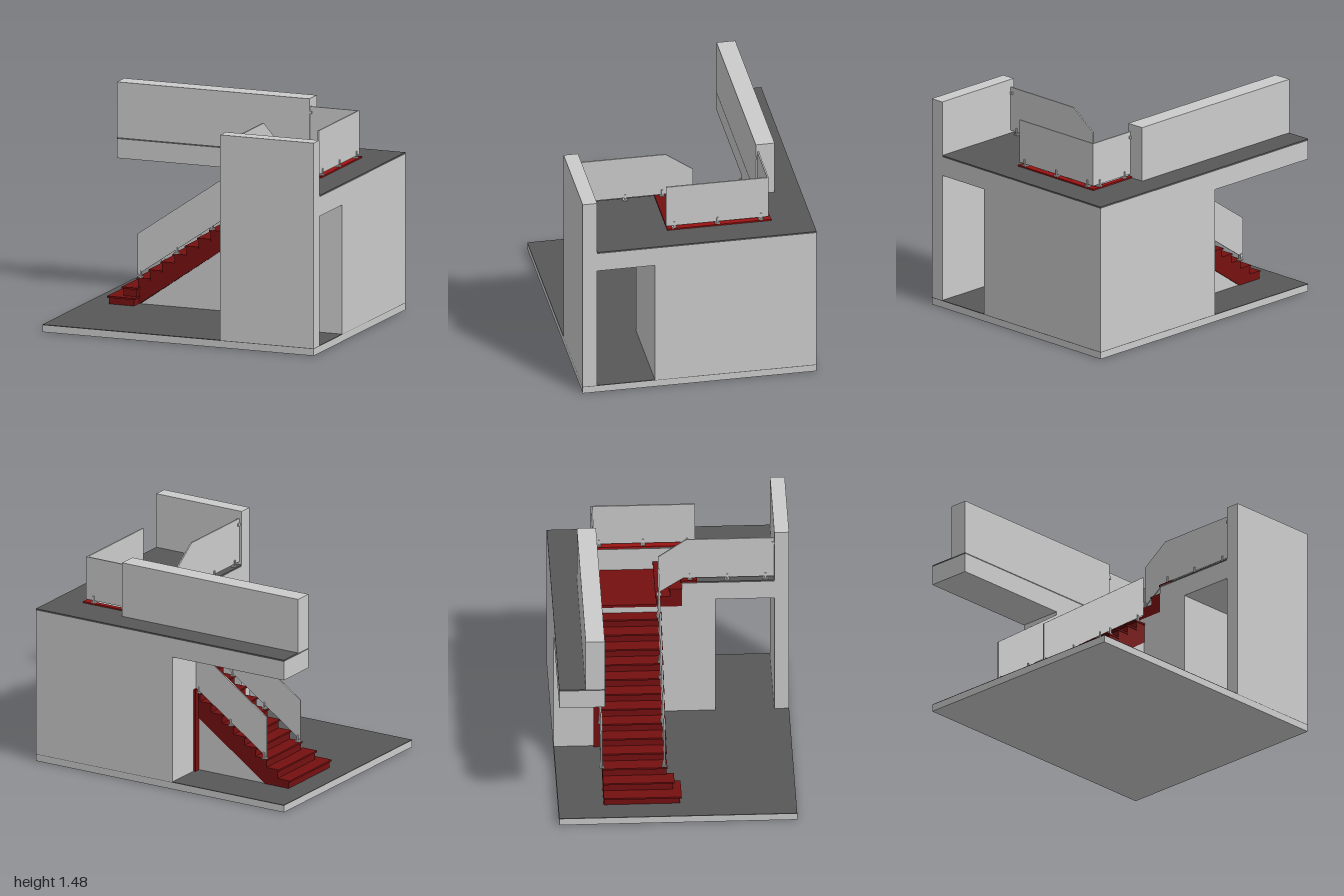
import * as THREE from 'three';

const mat = (color) => new THREE.MeshStandardMaterial({ color, side: THREE.DoubleSide });

export function createModel() {
  const root = new THREE.Group();
  const grey = mat(0xcccccc), dark = mat(0x585858), red = mat(0x751010), trimRed = mat(0x9c1212);

  const add = (name, geo, m, parent = root) => {
    const mesh = new THREE.Mesh(geo, m);
    mesh.name = name;
    parent.add(mesh);
    return mesh;
  };
  // box given by its limits on each axis
  const box = (name, m, [x0, x1], [y0, y1], [z0, z1], parent) => {
    const g = new THREE.BoxGeometry(x1 - x0, y1 - y0, z1 - z0);
    g.translate((x0 + x1) / 2, (y0 + y1) / 2, (z0 + z1) / 2);
    return add(name, g, m, parent);
  };
  const extrude = (pts, depth) => new THREE.ExtrudeGeometry(
    new THREE.Shape(pts.map(([a, b]) => new THREE.Vector2(a, b))), { depth, bevelEnabled: false });
  // floor plan (x, z) raised from y0 to y1
  const plan = (name, m, pts, y0, y1) => {
    const g = extrude(pts.map(([x, z]) => [x, -z]), y1 - y0);
    g.rotateX(-Math.PI / 2);
    g.translate(0, y0, 0);
    return add(name, g, m);
  };
  // side profile (x, y) between z0 and z1
  const alongZ = (name, m, pts, z0, z1) => {
    const g = extrude(pts, z1 - z0);
    g.translate(0, 0, z0);
    return add(name, g, m);
  };
  // side profile (z, y) between x0 and x1
  const alongX = (name, m, pts, x0, x1) => {
    const g = extrude(pts.map(([z, y]) => [-z, y]), x1 - x0);
    g.rotateY(Math.PI / 2);
    g.translate(x0, 0, 0);
    return add(name, g, m);
  };

  // ground slab with dark floor finish
  box('groundSlab', grey, [-1, 1], [0, 0.047], [-0.81, 0.81]);
  box('groundFloor', dark, [-1, 1], [0.047, 0.052], [-0.81, 0.81]);

  // walls around the stairwell
  plan('lowerWalls', grey, [[-0.1, -0.81], [1, -0.81], [1, 0.31], [0.31, 0.31], [0.31, 0.08],
    [0.75, 0.08], [0.75, -0.5], [-0.1, -0.5]], 0.05, 0.95);
  box('landingCore', grey, [0.31, 0.75], [0.05, 0.9], [-0.5, 0.08]);

  // upper storey, open over the stairwell
  const upper = [[-1, -0.81], [1, -0.81], [1, 0.71], [0.31, 0.71], [0.31, 0.08],
    [0.75, 0.08], [0.75, -0.5], [-1, -0.5]];
  plan('upperSlab', grey, upper, 0.95, 1.083);
  plan('upperFloor', dark, upper, 1.083, 1.095);
  box('frontWall', grey, [0.31, 1], [0.05, 1.48], [0.71, 0.81]);
  box('backParapet', grey, [-1, 0.42], [1.095, 1.48], [-0.63, -0.5]);

  // main flight
  const N = 13, run = 1.16 / N, rise = 0.0625;
  const stepX = (i) => -0.85 + run * i;
  const stepY = (i) => 0.108 + rise * i;
  const frontZ = (i) => (i === 0 ? 0.03 : i === 1 ? -0.015 : -0.06);
  const profile = [[-0.65, 0.052]];
  for (let i = 2; i < N; i++) {
    profile.push([stepX(i) + 0.01, i === 2 ? 0.052 : stepY(i - 1) - 0.012]);
    profile.push([stepX(i) + 0.01, stepY(i) - 0.012]);
    profile.push([stepX(i + 1) + 0.01, stepY(i) - 0.012]);
  }
  profile.push([0.31, 0.72]);
  profile[profile.length - 2][0] = 0.31;
  alongZ('stairBody', red, profile.slice(1).concat([[-0.65, 0.052]]), -0.5, -0.065);
  for (let i = 0; i < N; i++) {
    const back = i < 2 ? -0.645 : Math.min(stepX(i + 1) + 0.012, 0.31);
    box('tread', red, [stepX(i), back], [stepY(i) - 0.012, stepY(i)], [-0.5, frontZ(i)]);
    if (i < 2) box('riserBlock', red, [stepX(i) + 0.01, -0.655], [0.052, stepY(i) - 0.012], [-0.5, frontZ(i) - 0.01]);
  }
  alongZ('underStairWall', grey, [[-0.65, 0.05], [0.31, 0.05], [0.31, 0.72]], -0.495, -0.07);
  alongZ('wallSkirting', red, [[-0.1, 0.56], [0.31, 0.84], [0.31, 0.92], [-0.1, 0.64]], -0.5, -0.488);
  box('wallEndPost', red, [-0.115, -0.1], [0.052, 0.64], [-0.54, -0.49]);

  // landing and upper flight
  box('landing', red, [0.31, 0.75], [0.9, 0.92], [-0.5, 0.08]);
  [[-0.1, 0.98], [-0.01, 1.04]].forEach(([z, y]) => {
    box('upperRiser', red, [0.31, 0.75], [0.92, y - 0.012], [z + 0.01, 0.08]);
    box('upperTread', red, [0.31, 0.75], [y - 0.012, y], [z, 0.08]);
  });
  box('topTread', red, [0.31, 0.75], [1.09, 1.105], [0.07, 0.185]);
  box('landingSkirting', red, [0.31, 0.75], [0.92, 0.96], [-0.5, -0.49]);
  box('wellTrimSide', trimRed, [0.75, 0.795], [1.09, 1.105], [-0.535, 0.185]);
  box('wellTrimBack', trimRed, [0.42, 0.75], [1.09, 1.105], [-0.535, -0.5]);

  // glass panels
  const t = 0.005;
  const stairGlass = (z, x1) => {
    const y = (x) => 0.25 + (x + 0.67) * 0.69;
    alongZ('stairGlass', grey, [[-0.67, y(-0.67)], [x1, y(x1)], [x1, y(x1) + 0.285], [-0.67, y(-0.67) + 0.285]], z - t, z + t);
  };
  stairGlass(-0.08, 0.31);
  stairGlass(-0.507, -0.1);
  alongX('upperStairGlass', grey, [[0.71, 1.115], [0.71, 1.425], [0.11, 1.425], [-0.08, 1.29],
    [-0.08, 1.0], [0.09, 1.115]], 0.335 - t, 0.335 + t);
  box('sideGlass', grey, [0.775 - t, 0.775 + t], [1.12, 1.425], [-0.52, 0.19]);
  box('backGlass', grey, [0.42, 0.775], [1.12, 1.425], [-0.515 - t, -0.515 + t]);

  // clamps: foot plate and two upright jaws astride the glass
  const clamp = (x, y, z, glassAlongX) => {
    const g = new THREE.Group();
    g.name = 'glassClamp';
    box('footPlate', grey, [-0.016, 0.016], [0, 0.008], [-0.016, 0.016], g);
    for (const s of [-1, 1]) {
      box('jaw', grey, [-0.006, 0.006], [0.008, 0.048], [s * 0.009 - 0.003, s * 0.009 + 0.003], g);
    }
    g.position.set(x, y, z);
    if (!glassAlongX) g.rotation.y = Math.PI / 2;
    root.add(g);
  };
  const treadTop = (x) => stepY(Math.floor((x + 0.85) / run));
  [-0.65, -0.38, -0.12, -0.02, 0.25].forEach((x) => clamp(x, treadTop(x), -0.08, true));
  [-0.65, -0.38, -0.12].forEach((x) => clamp(x, treadTop(x), -0.505, true));
  [0.65, 0.39].forEach((z) => clamp(0.335, 1.095, z, false));
  clamp(0.335, 1.105, 0.135, false);
  clamp(0.335, 0.98, -0.075, false);
  [0.135, -0.165, -0.465].forEach((z) => clamp(0.775, 1.105, z, false));
  [0.48, 0.72].forEach((x) => clamp(x, 1.105, -0.515, true));

  // clips fixing glass ends to the walls
  box('wallClip', grey, [-0.12, -0.09], [0.87, 0.89], [-0.515, -0.49]);
  box('wallClip', grey, [0.322, 0.348], [1.375, 1.395], [0.69, 0.71]);
  box('wallClip', grey, [0.42, 0.435], [1.375, 1.395], [-0.53, -0.5]);

  return root;
}
